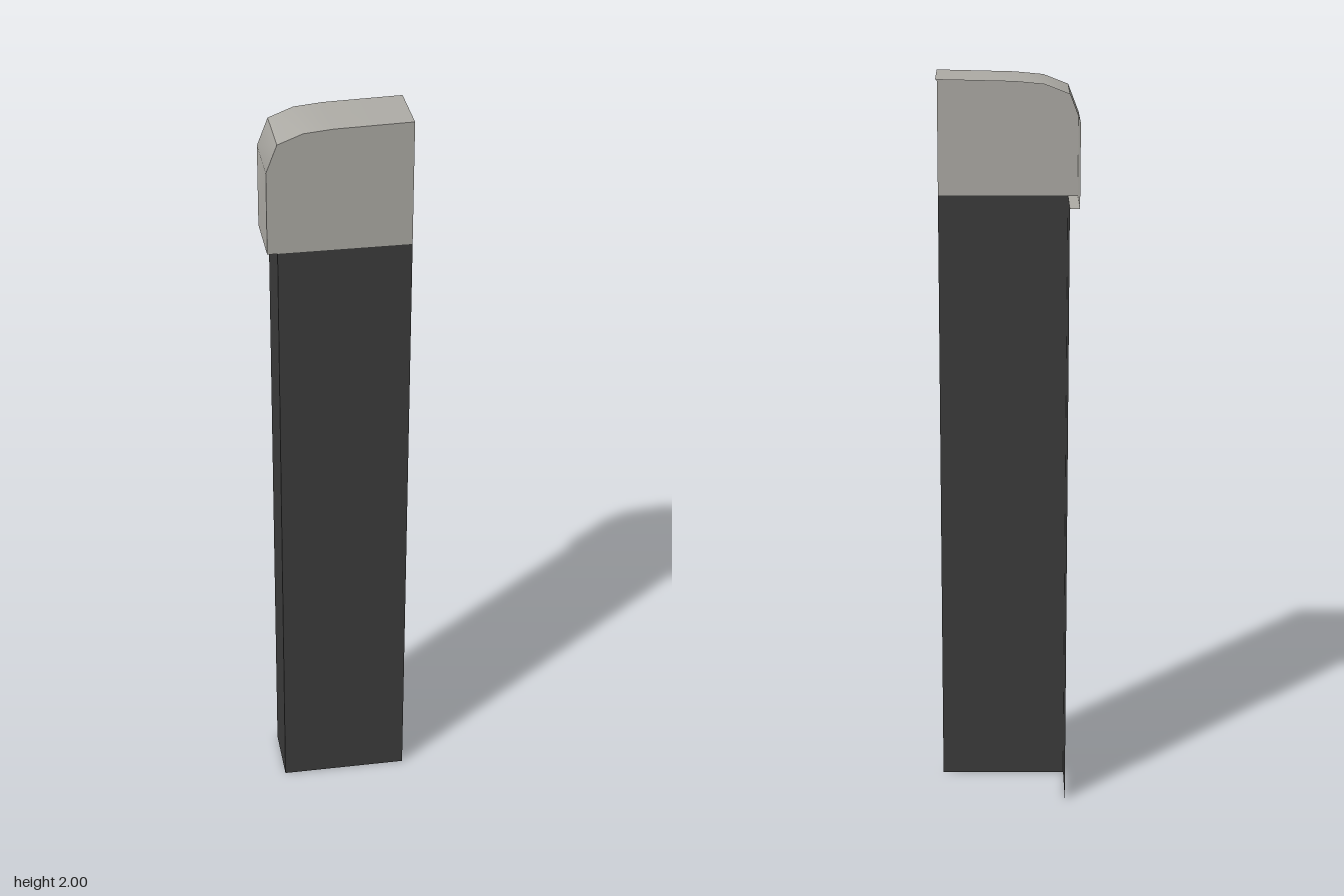
import * as THREE from 'three';

const D = 0.083; // half depth
const RIGHT = 0.183; // open edge
const SEAM = 1.67; // where the cap meets the post

// Open strip: sweeps an x-y path through the depth, smooth along the path
function strip(path) {
  const positions = [], index = [];
  path.forEach(([x, y], i) => {
    positions.push(x, y, D, x, y, -D);
    if (i < path.length - 1) {
      const a = i * 2;
      index.push(a, a + 2, a + 1, a + 1, a + 2, a + 3);
    }
  });
  const geometry = new THREE.BufferGeometry();
  geometry.setAttribute('position', new THREE.Float32BufferAttribute(positions, 3));
  geometry.setIndex(index);
  geometry.computeVertexNormals();
  return geometry;
}

// Flat front panel from an x-y outline
function panel(outline) {
  const shape = new THREE.Shape(outline.map(([x, y]) => new THREE.Vector2(x, y)));
  return new THREE.ShapeGeometry(shape).translate(0, 0, D);
}

export function createModel() {
  const model = new THREE.Group();
  const dark = new THREE.MeshStandardMaterial({ color: 0x3c3c3c, side: THREE.DoubleSide });
  dark.name = 'charcoal';
  const light = new THREE.MeshStandardMaterial({ color: 0xaeaca6, side: THREE.DoubleSide });
  light.name = 'warm grey';

  const add = (name, geometry, material) => {
    const mesh = new THREE.Mesh(geometry, material);
    mesh.name = name;
    model.add(mesh);
  };

  // Post: front and one side, open elsewhere
  const postX = -0.158;
  add('postFront', panel([[postX, 0], [RIGHT, 0], [RIGHT, SEAM], [postX, SEAM]]), dark);
  add('postSide', strip([[postX, 0], [postX, SEAM]]), dark);

  // Cap: overhanging wall with a rounded shoulder
  const wall = [[-0.184, SEAM], [-0.184, 1.89], [-0.156, 1.963]];
  const roof = [[-0.156, 1.963], [-0.092, 1.988], [-0.018, 1.995], [0.1, 1.998], [RIGHT, 2]];
  add('capFront', panel([[RIGHT, SEAM], ...roof.slice().reverse(), ...wall.slice(0, 2).reverse()]), light);
  add('capSide', strip(wall), light);
  add('capTop', strip(roof), light);
  add('capLedge', strip([[postX, SEAM], wall[0]]), light);

  return model;
}
